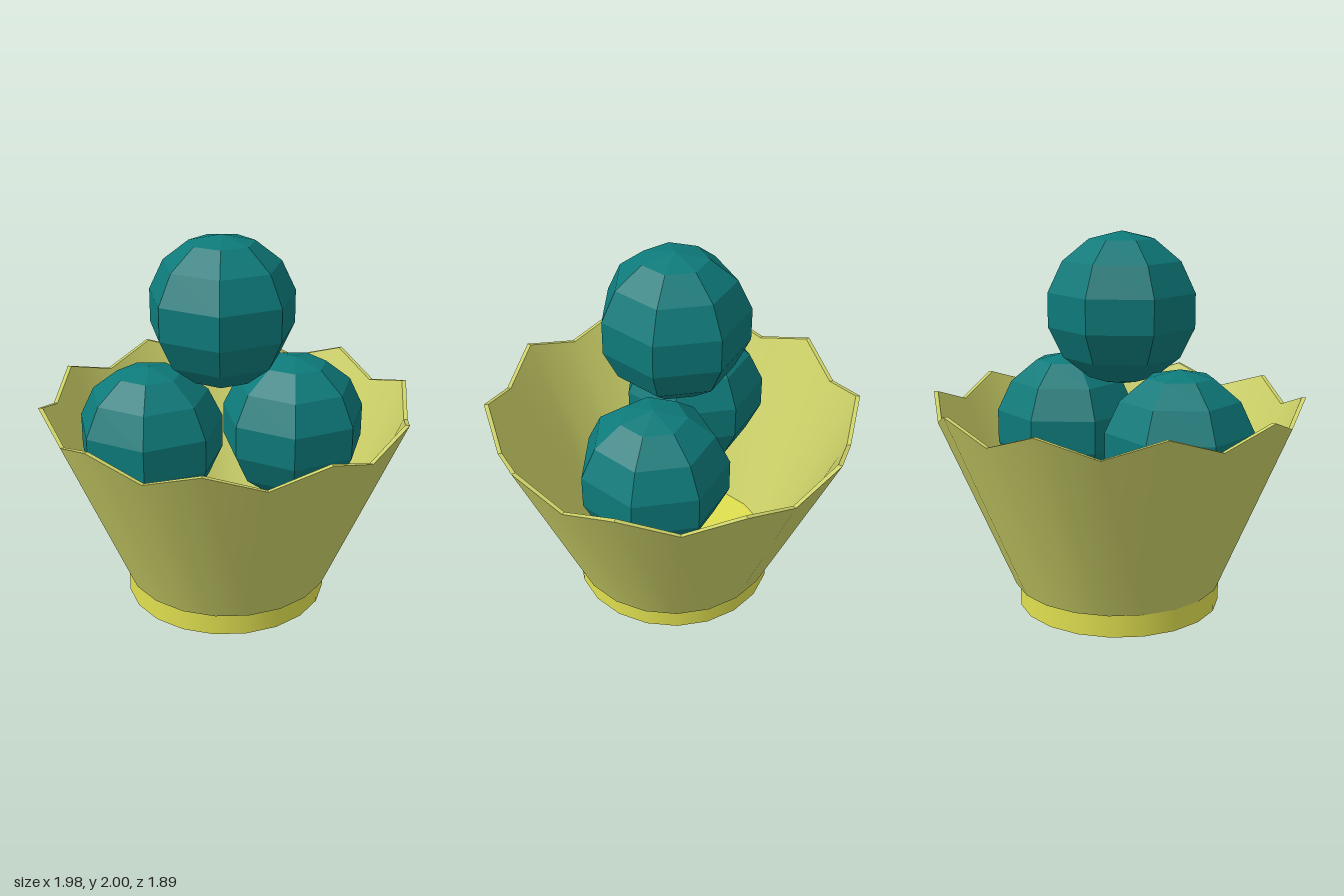
import * as THREE from 'three';
import { toCreasedNormals } from 'three/addons/utils/BufferGeometryUtils.js';

const FOOT = 0.12, PEAK = 1.14, VALLEY = 1.04, SIDES = 20;

// Thin flared wall, open at the bottom, with every second rim corner cut lower
function wallGeometry() {
  const profile = [[0.55, FOOT], [0.56, FOOT], [0.99, PEAK], [0.967, PEAK], [0.55, FOOT]]
    .map(([r, y]) => new THREE.Vector2(r, y));
  const geo = new THREE.LatheGeometry(profile, SIDES, Math.PI / 2);
  const p = geo.attributes.position;
  const drop = (PEAK - VALLEY) / (PEAK - FOOT);
  for (let i = 0; i < p.count; i++) {
    const column = Math.floor(i / profile.length);
    if (p.getY(i) < 1 || column % 2 === 0) continue;
    // slide the corner down along the slope of the wall
    const r = Math.hypot(p.getX(i), p.getZ(i));
    const s = (r + (0.555 - r) * drop) / r;
    p.setXYZ(i, p.getX(i) * s, VALLEY, p.getZ(i) * s);
  }
  return toCreasedNormals(geo, 0.6);
}

export function createModel() {
  const group = new THREE.Group();
  const add = (name, geometry, color, x, y, z, flatShading = false) => {
    const mesh = new THREE.Mesh(geometry, new THREE.MeshStandardMaterial({ color, flatShading }));
    mesh.name = name;
    mesh.position.set(x, y, z);
    group.add(mesh);
    return mesh;
  };

  // Low disc foot that also forms the floor of the cup
  add('foot', new THREE.CylinderGeometry(0.545, 0.545, FOOT, SIDES), 0xe0e050, -0.01, FOOT / 2, 0);

  // Cup wall with zigzag rim
  add('cupWall', wallGeometry(), 0xcdd268, 0, 0, 0);

  // Three faceted scoops, one resting on two
  const scoop = new THREE.SphereGeometry(0.3975, 7, 7).rotateY(Math.PI);
  const scoops = [['leftScoop', 0.36, 0.93], ['rightScoop', -0.415, 0.93], ['topScoop', -0.03, 1.6025]];
  for (const [name, x, y] of scoops) add(name, scoop, 0x0e7a7a, x, y, 0, true);

  return group;
}
